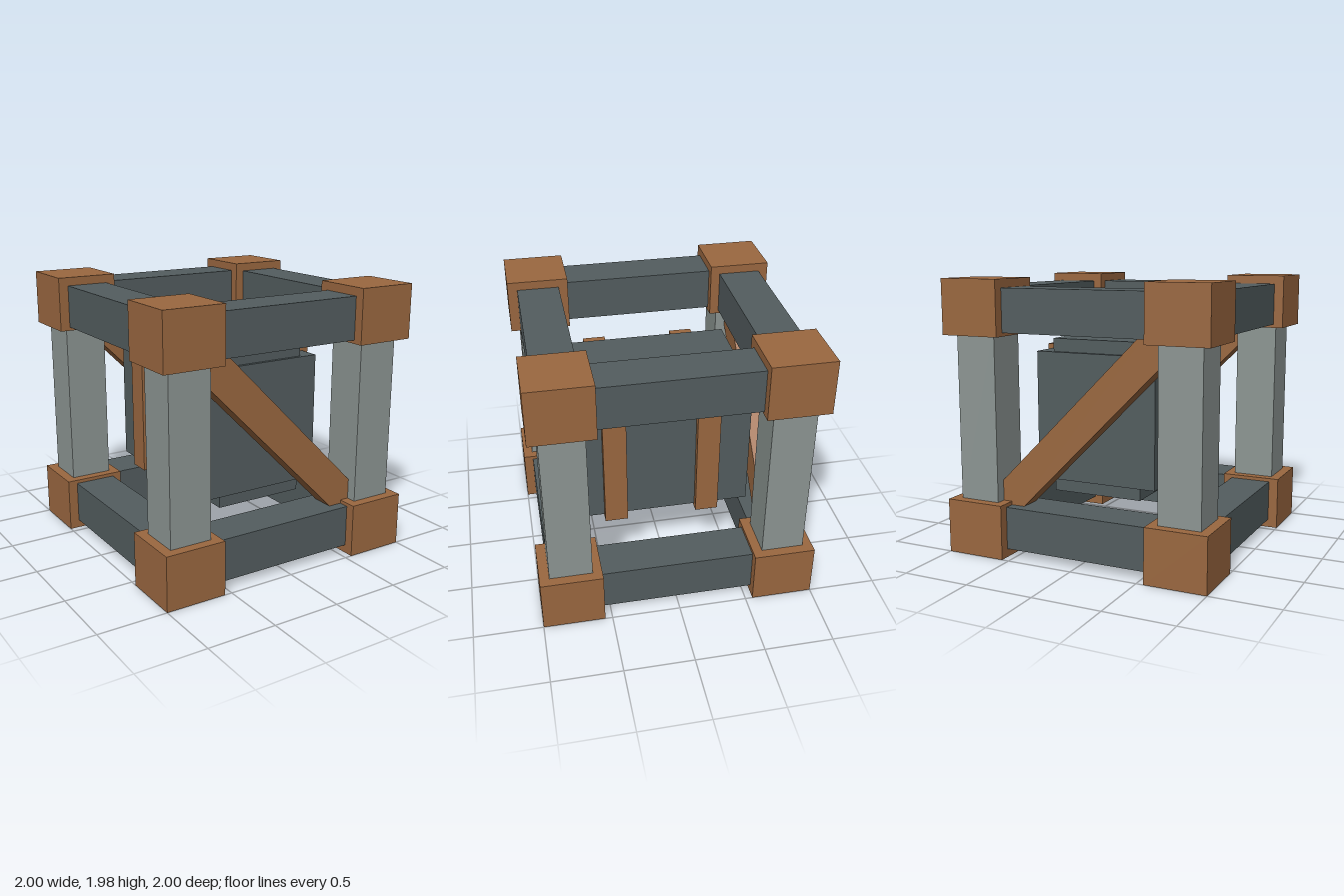
import * as THREE from 'three';

export function createModel() {
  const model = new THREE.Group();
  model.name = 'framedCrate';

  const mat = (name, color) => {
    const m = new THREE.MeshStandardMaterial({ color });
    m.name = name;
    return m;
  };
  const copper = mat('copper brown', 0x9b6840);
  const slate = mat('dark slate', 0x535d5f);
  const steel = mat('light grey', 0x8d9693);

  const box = (name, material, size, pos) => {
    const mesh = new THREE.Mesh(new THREE.BoxGeometry(...size), material);
    mesh.name = name;
    mesh.position.set(...pos);
    model.add(mesh);
    return mesh;
  };

  const MID = 0.99;    // centre height
  const RAIL = 0.775;  // rail and post offset from the centre
  const THICK = 0.308; // rail and post thickness
  const signs = [-1, 1];

  for (const a of signs) {
    for (const b of signs) {
      // Corner blocks
      for (const c of signs) {
        box('cornerBlock', copper, [0.447, 0.395, 0.447], [a * 0.7765, MID + c * 0.7925, b * 0.7765]);
      }
      // Upright posts
      box('post', steel, [THICK, 1.3, THICK], [a * RAIL, MID, b * RAIL]);
      // Horizontal rails, top and bottom
      box('crossRail', slate, [1.2, THICK, THICK], [0, MID + a * RAIL, b * RAIL]);
      box('sideRail', slate, [THICK, THICK, 1.2], [a * RAIL, MID + b * RAIL, 0]);
    }

    // Diagonal brace on the front and back faces
    const brace = box('diagonalBrace', copper, [1.98, 0.245, 0.16], [0, 0.993, a * RAIL]);
    brace.rotation.z = -Math.PI / 4;
  }

  // Suspended inner container
  box('containerBody', slate, [0.925, 0.93, 1.24], [0, 0.995, 0]);
  box('containerCore', slate, [0.68, 1.115, 1.19], [0, 0.9975, 0]);

  // Straps on both sides of the container
  for (const side of signs) {
    for (const z of [0.38, -0.302]) {
      box('strap', copper, [0.17, 0.99, 0.168], [side * 0.425, 0.995, z]);
    }
  }

  return model;
}
